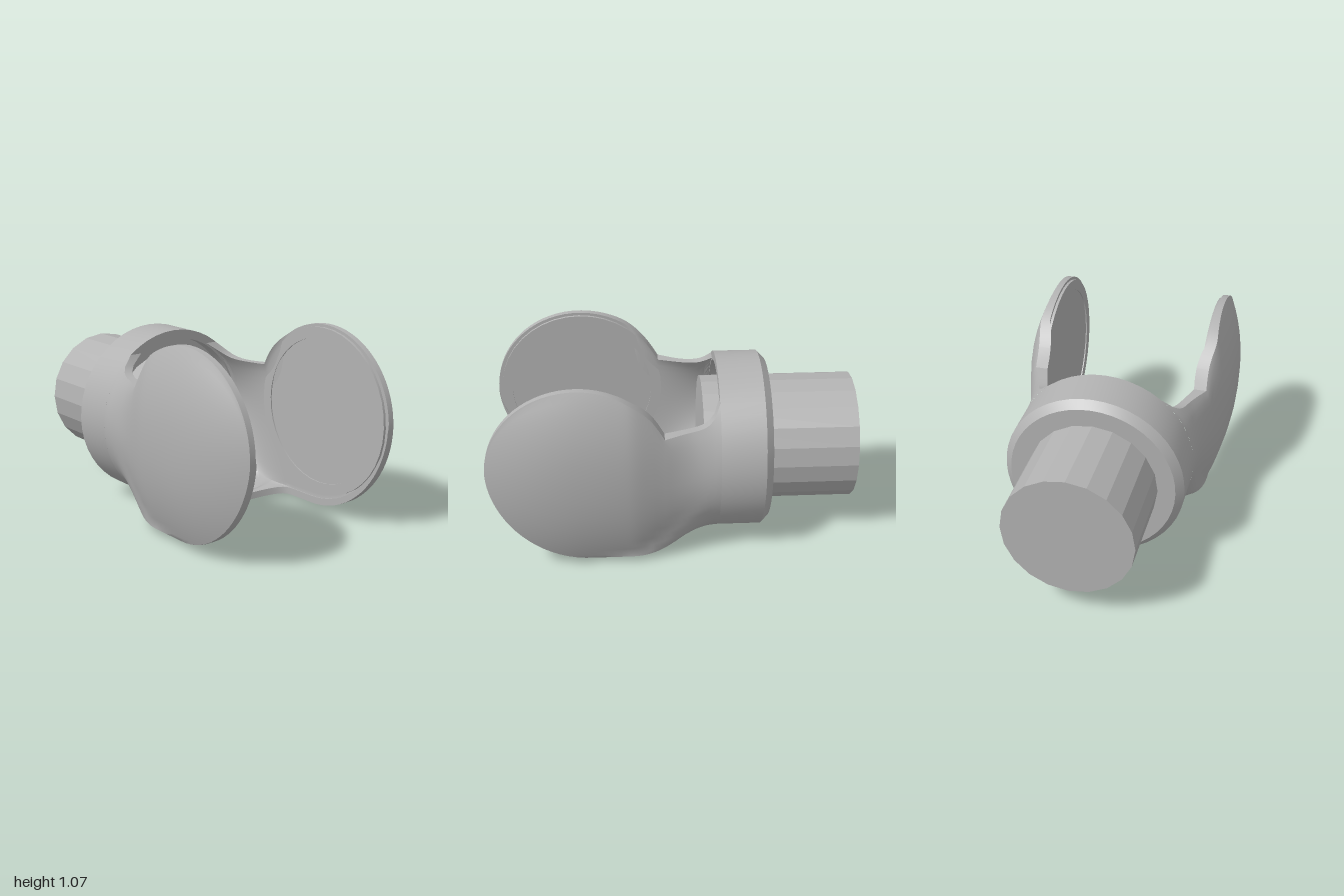
import * as THREE from 'three';
import { toCreasedNormals } from 'three/addons/utils/BufferGeometryUtils.js';

const grey = new THREE.MeshStandardMaterial({ color: 0xb2b2b2 });
grey.name = 'plain grey';

const mix = THREE.MathUtils.lerp;
const smooth = THREE.MathUtils.smoothstep;
const EAR_Y = 0.585, EAR_Z = 0.51, EAR_R = 0.485, AXIS_Y = 0.49;

function part(name, geometry, crease = 0.6) {
  const mesh = new THREE.Mesh(toCreasedNormals(geometry, crease), grey);
  mesh.name = name;
  return mesh;
}

const lathe = (points, sides) =>
  new THREE.LatheGeometry(points.map(([r, h]) => new THREE.Vector2(r, h)), sides);

// Upper edge of the shell: fillet at the collar, low saddle, then the round ear
function topEdge(z) {
  const saddle = z < 0.1 ? 0.775 + 0.1 * Math.exp(-(z + 0.24) / 0.04) : 0;
  const d = (z - EAR_Z) / (z > EAR_Z ? 1 - EAR_Z : EAR_R);
  return Math.max(saddle, EAR_Y + EAR_R * Math.sqrt(Math.max(0, 1 - d * d)));
}

// Lower edge: almost flat, then curving up to the tip of the ear
function bottomEdge(z) {
  if (z < 0.45) return 0.035 * smooth(z, 0, 0.25);
  const d = (z - 0.45) / 0.55;
  return EAR_Y - 0.55 * Math.pow(Math.max(0, 1 - d * d), 0.55);
}

// Rounded front edge of the floor between the ears
function floorEnd(z) {
  const d = THREE.MathUtils.clamp((z - 0.12) / 0.18, 0, 1);
  return 0.45 * Math.pow(1 - Math.pow(1 - d, 2.5), 0.4);
}

// Width of the domed ear
function earWidth(y, z) {
  const dy = (y - EAR_Y) / (y > EAR_Y ? 0.485 : 0.55);
  const dz = z > 0.5 ? (z - 0.5) / 0.5 : (0.5 - z) / 0.63;
  const rho = Math.min(1, Math.hypot(dy, dz * (z < 0.5 && y < EAR_Y ? 1 + 0.3 * dy : 1)));
  return 0.49 + 0.105 * (1 - Math.pow(rho, 2.3));
}

// One point of a half section; u runs from the top edge down to the floor's middle
function sectionPoint(u, z, inner) {
  const yt = topEdge(z), yb = bottomEdge(z), t = smooth(z, -0.25, 0.25);
  const r = inner ? 0.45 : 0.49;
  const start = Math.asin(Math.min(1, (yt - AXIS_Y) / r));
  const corner = -0.7;
  const side = Math.min(1, u / 0.6), floor = Math.max(0, (u - 0.6) / 0.4);
  const a = u < 0.6 ? mix(start, corner, side) : mix(corner, -Math.PI / 2, floor);
  const low = yb + (inner ? Math.min(0.04, (yt - yb) * 0.1) : 0);
  let y = mix(yt, low, (1 - Math.cos(Math.PI * side)) / 2);
  let x = inner ? 0.455 : earWidth(y, z);
  if (floor > 0) {
    x = mix(x, floorEnd(z), floor);
    y = low - 0.03 * Math.max(0, 1 - x / 0.455) * (1 - smooth(z, 0.1, 0.4));
  }
  return [mix(r * Math.cos(a), x, t), Math.max(0, mix(AXIS_Y + r * Math.sin(a), y, t))];
}

// Half of the shell with its ear, lofted along z
function shellHalf(s) {
  const N = 24, loop = 2 * (N + 1), positions = [], index = [];
  const stations = [];
  for (let i = 0; i < 12; i++) stations.push(-0.24 + 0.03 * i);
  for (let i = 0; i <= 12; i++) stations.push(0.12 + 0.18 * Math.pow(i / 12, 1.7));
  for (let i = 1; i <= 22; i++) stations.push(0.3 + 0.7 * Math.sin((i / 22) * Math.PI / 2));
  for (const z of stations) {
    for (let j = 0; j < loop; j++) {
      const inner = j > N;
      const [x, y] = sectionPoint((inner ? loop - 1 - j : j) / N, z, inner);
      positions.push(s * x, y, z);
    }
  }
  for (let i = 0; i < stations.length - 1; i++) {
    for (let j = 0; j < loop; j++) {
      const k = (j + 1) % loop;
      const a = i * loop + j, b = i * loop + k, c = b + loop, d = a + loop;
      if (s > 0) index.push(a, d, b, b, d, c);
      else index.push(a, b, d, b, c, d);
    }
  }
  const g = new THREE.BufferGeometry();
  g.setAttribute('position', new THREE.Float32BufferAttribute(positions, 3));
  g.setIndex(index);
  return g;
}

export function createModel() {
  const model = new THREE.Group();
  model.name = 'forkJoint';

  // Round shaft running through the collar
  const shaft = part('shaft',
    new THREE.CylinderGeometry(0.35, 0.35, 0.84, 20).rotateX(Math.PI / 2), 0.2);
  shaft.position.set(-0.005, 0.495, -0.58);
  model.add(shaft);

  // Collar with a bevelled back and a shallow cavity in front
  const collar = part('collar', lathe([
    [0, -0.52], [0.45, -0.52], [0.49, -0.48], [0.49, -0.24],
    [0.44, -0.24], [0.44, -0.32], [0, -0.32],
  ], 48).rotateX(Math.PI / 2));
  collar.position.y = AXIS_Y;
  model.add(collar);

  // Mirrored shell halves and the round pads inside the ears
  for (const s of [1, -1]) {
    const label = s > 0 ? 'left' : 'right';
    model.add(part(label + 'Fork', shellHalf(s)));
    const pad = part(label + 'Pad', lathe([
      [0.47, 0], [0.47, 0.015], [0.41, 0.015], [0.41, 0.008], [0, 0.008],
    ], 40).rotateZ(s * Math.PI / 2));
    pad.position.set(s * 0.455, EAR_Y, EAR_Z);
    model.add(pad);
  }
  return model;
}
